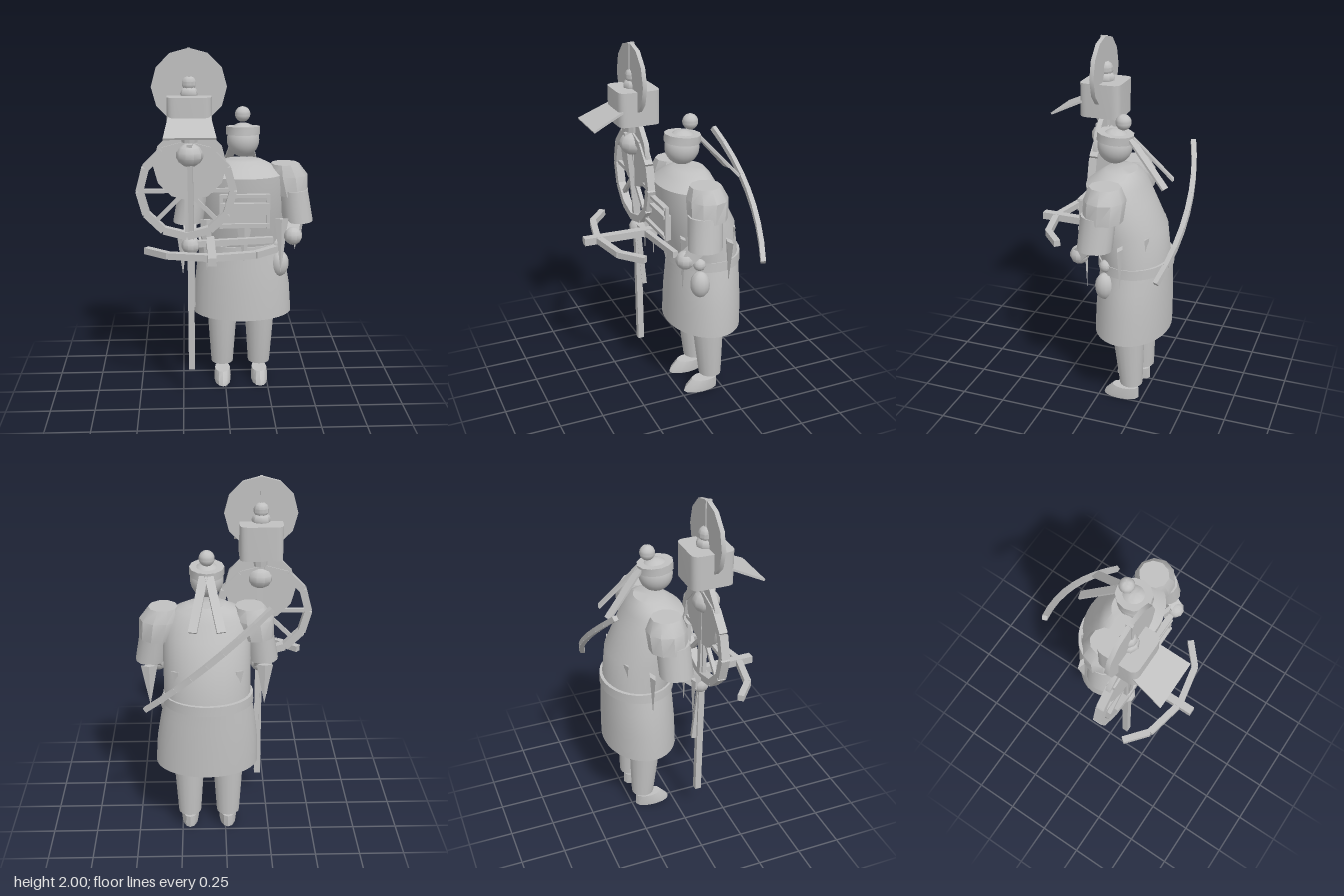
import * as THREE from 'three';
import { toCreasedNormals } from 'three/addons/utils/BufferGeometryUtils.js';

const grey = new THREE.MeshStandardMaterial({ color: 0xc0c0c0 });
grey.name = 'grey';

const V = (x, y, z) => new THREE.Vector3(x, y, z);

// Closed body from elliptical sections [y, centreX, centreZ, radiusX, radiusZ], lowest first
function loft(sections, n = 24) {
  const pos = [], idx = [];
  for (const [y, cx, cz, rx, rz] of sections) {
    for (let i = 0; i < n; i++) {
      const a = (i / n) * Math.PI * 2;
      pos.push(cx + Math.cos(a) * rx, y, cz + Math.sin(a) * rz);
    }
  }
  const last = sections.length - 1;
  for (const k of [0, last]) pos.push(sections[k][1], sections[k][0], sections[k][2]);
  const bottom = (last + 1) * n, top = bottom + 1;
  for (let i = 0; i < n; i++) {
    const j = (i + 1) % n;
    for (let s = 0; s < last; s++) {
      const a = s * n + i, b = s * n + j;
      idx.push(a, a + n, b, b, a + n, b + n);
    }
    idx.push(bottom, i, j, top, last * n + j, last * n + i);
  }
  const g = new THREE.BufferGeometry();
  g.setAttribute('position', new THREE.Float32BufferAttribute(pos, 3));
  g.setIndex(idx);
  return g;
}

export function createModel() {
  const model = new THREE.Group();
  model.name = 'travellerWithStaff';

  const add = (name, geo, p = [0, 0, 0], scale = [1, 1, 1]) => {
    const m = new THREE.Mesh(toCreasedNormals(geo, 0.6), grey);
    m.name = name;
    m.position.set(...p);
    m.scale.set(...scale);
    model.add(m);
    return m;
  };
  const ball = (name, p, r, scale, seg = 16) =>
    add(name, new THREE.SphereGeometry(r, seg, Math.ceil(seg * 0.65)), p, scale);
  const box = (name, p, size) => add(name, new THREE.BoxGeometry(...size), p);
  // Straight bar between two points
  const bar = (name, a, b, w, h = w) => {
    const m = box(name, a.clone().lerp(b, 0.5).toArray(), [w, h, a.distanceTo(b)]);
    m.lookAt(b);
    return m;
  };
  const chain = (name, pts, w) => {
    for (let i = 1; i < pts.length; i++) bar(name, pts[i - 1], pts[i], w);
  };

  // Legs and shoes
  for (const x of [-0.015, 0.207]) {
    add('leg', loft([[0.1, x, -0.185, 0.065, 0.065], [0.44, x, -0.165, 0.088, 0.092],
      [0.5, x, -0.165, 0.088, 0.092]], 16));
    add('shoe', loft([[0, x, -0.125, 0.048, 0.105], [0.025, x, -0.13, 0.05, 0.1],
      [0.07, x, -0.15, 0.045, 0.078]], 12));
  }

  // Robe
  add('skirt', loft([[0.44, 0.105, -0.165, 0.288, 0.21], [0.6, 0.102, -0.168, 0.28, 0.207],
    [0.74, 0.098, -0.172, 0.26, 0.2], [0.84, 0.095, -0.175, 0.24, 0.195]], 32));
  add('belt', loft([[0.825, 0.095, -0.172, 0.25, 0.207], [0.88, 0.095, -0.172, 0.248, 0.205]], 32));
  add('torso', loft([[0.87, 0.1, -0.17, 0.238, 0.19], [1.05, 0.1, -0.135, 0.24, 0.205],
    [1.2, 0.1, -0.085, 0.24, 0.178], [1.29, 0.1, -0.06, 0.225, 0.16],
    [1.335, 0.1, -0.075, 0.17, 0.12], [1.365, 0.1, -0.085, 0.105, 0.085]], 32));

  // Pointed hem flaps hanging around the waist: [x, z, top, tip, radius]
  for (const [x, z, y1, y0, r] of [[0.1, 0.05, 1.02, 0.8, 0.045], [0.31, 0.04, 1.05, 0.73, 0.038],
    [-0.11, 0.04, 1.05, 0.75, 0.038], [-0.245, 0.04, 0.99, 0.73, 0.035], [0.415, -0.185, 1.04, 0.8, 0.045],
    [-0.215, -0.185, 1.04, 0.8, 0.045], [0.255, -0.28, 1.05, 0.86, 0.04], [-0.055, -0.28, 1.05, 0.86, 0.04]]) {
    add('hemPoint', new THREE.ConeGeometry(r, y1 - y0, 4).rotateX(Math.PI),
      [x, (y1 + y0) / 2, z], [1, 1, 0.35]);
  }

  // Arms, mirrored about the body's middle
  for (const s of [1, -1]) {
    const X = x => 0.1 + s * (x - 0.1);
    add('upperSleeve', loft([[1.17, X(0.37), -0.075, 0.1, 0.108], [1.28, X(0.35), -0.08, 0.115, 0.112],
      [1.345, X(0.335), -0.075, 0.08, 0.085]], 10));
    add('lowerSleeve', loft([[1.02, X(0.412), -0.045, 0.085, 0.095],
      [1.2, X(0.38), -0.055, 0.085, 0.095]], 14));
    const hand = s > 0 ? V(0.375, 0.955, 0.055) : V(-0.2, 0.92, 0.1);
    bar('forearm', V(X(0.405), 1.05, -0.04), hand, 0.07);
    ball('hand', hand.toArray(), 0.052, [1, 1, 1], 10);
  }

  // Head, cap and ribbons
  ball('head', [0.097, 1.485, -0.045], 0.095, [0.95, 1, 1], 24);
  add('capBand', new THREE.CylinderGeometry(0.094, 0.094, 0.045, 12), [0.097, 1.537, -0.047], [1, 1, 1.08])
    .rotation.x = -0.08;
  ball('capPompom', [0.097, 1.62, -0.092], 0.043);
  for (const s of [1, -1]) {
    bar('ribbon', V(0.1 + s * 0.014, 1.535, -0.14), V(0.1 + s * 0.075, 1.305, -0.35), 0.048, 0.012);
  }

  // Gourd hanging at the hip
  ball('gourdBase', [0.312, 0.755, -0.065], 0.055, [1, 1.4, 1], 14);
  ball('gourdTop', [0.3, 0.87, -0.065], 0.036, [1, 1, 1], 12);

  // Chest panel with rails
  box('chestPanel', [0.1, 1.085, 0.088], [0.27, 0.14, 0.025]);
  for (const y of [1.2, 1.15, 1.035]) box('chestRail', [0.1, y, 0.105], [0.27, 0.018, 0.03]);
  for (const x of [-0.03, 0.23]) box('chestPost', [x, 1.11, 0.1], [0.018, 0.19, 0.022]);

  // Bow stave slung across the back
  const stave = [];
  for (let i = 0; i <= 8; i++) {
    const t = i / 4 - 1;
    stave.push(V(0.1 + t * 0.33, 1.165 - t * 0.285, -0.455 + 0.068 * t * t));
  }
  chain('backStave', stave, 0.028);

  // Staff poles
  bar('staffPole', V(-0.2, 0.175, 0.095), V(-0.2, 1.6, 0.115), 0.036);
  bar('thinPole', V(-0.19, 0.55, 0.07), V(-0.2, 1.5, 0.16), 0.028);

  // Spoked wheel
  const hub = V(-0.22, 1.235, 0.112);
  const rim = (a, r) => V(hub.x + Math.cos(a) * r, hub.y + Math.sin(a) * r, hub.z);
  for (let i = 0; i < 12; i++) {
    bar('wheelRim', rim(i * Math.PI / 6, 0.255), rim((i + 1) * Math.PI / 6, 0.255), 0.046, 0.042);
  }
  for (let i = 0; i < 8; i++) bar('wheelSpoke', hub, rim(i * Math.PI / 4, 0.25), 0.022);

  // Two round plates
  const plate = (name, y, z, thick) => add(name,
    new THREE.CylinderGeometry(0.2, 0.2, thick, 12).rotateX(Math.PI / 2), [-0.2, y, z]);
  plate('lowerPlate', 1.38, 0.11, 0.028);
  plate('upperPlate', 1.8, 0.125, 0.024);
  box('plateRidge', [-0.2, 1.87, 0.125], [0.016, 0.26, 0.036]);

  // Staff figure: ball, neck, boxy cap, visor and knob
  ball('staffBall', [-0.2, 1.435, 0.125], 0.075, [1, 0.88, 1], 10);
  add('staffNeck', new THREE.CylinderGeometry(0.055, 0.045, 0.08, 10), [-0.2, 1.545, 0.12]);
  const w = 0.118, c = 0.045, outline = new THREE.Shape();
  outline.moveTo(-w + c, -w);
  outline.lineTo(w - c, -w).quadraticCurveTo(w, -w, w, -w + c);
  outline.lineTo(w, w - c).quadraticCurveTo(w, w, w - c, w);
  outline.lineTo(-w + c, w).quadraticCurveTo(-w, w, -w, w - c);
  outline.lineTo(-w, -w + c).quadraticCurveTo(-w, -w, -w + c, -w);
  add('boxCap', new THREE.ExtrudeGeometry(outline, { depth: 0.19, bevelEnabled: false, curveSegments: 4 })
    .rotateX(-Math.PI / 2), [-0.2, 1.565, 0.117]);
  const visor = new THREE.Shape([[-0.105, 0], [0.105, 0], [0.136, 0.253], [-0.136, 0.253]]
    .map(p => new THREE.Vector2(...p)));
  add('visor', new THREE.ExtrudeGeometry(visor, { depth: 0.012, bevelEnabled: false })
    .rotateX(Math.PI / 2), [-0.2, 1.68, 0.165]).rotation.x = 0.43;
  ball('knobBase', [-0.2, 1.765, 0.118], 0.055, [1, 0.8, 1], 8);
  ball('knob', [-0.2, 1.818, 0.118], 0.044, [1, 1, 1], 10);

  // Crossbow held level
  chain('crossbowLimb', [[-0.44, 0.235], [-0.32, 0.335], [-0.09, 0.385], [0.14, 0.34], [0.26, 0.235]]
    .map(([x, z]) => V(x, 0.937, z)), 0.036);
  bar('crossbowStock', V(-0.09, 0.93, 0.03), V(-0.09, 0.937, 0.465), 0.045, 0.042);
  bar('crossbowString', V(-0.2, 0.93, 0.11), V(0.26, 0.935, 0.06), 0.03, 0.035);

  return model;
}
